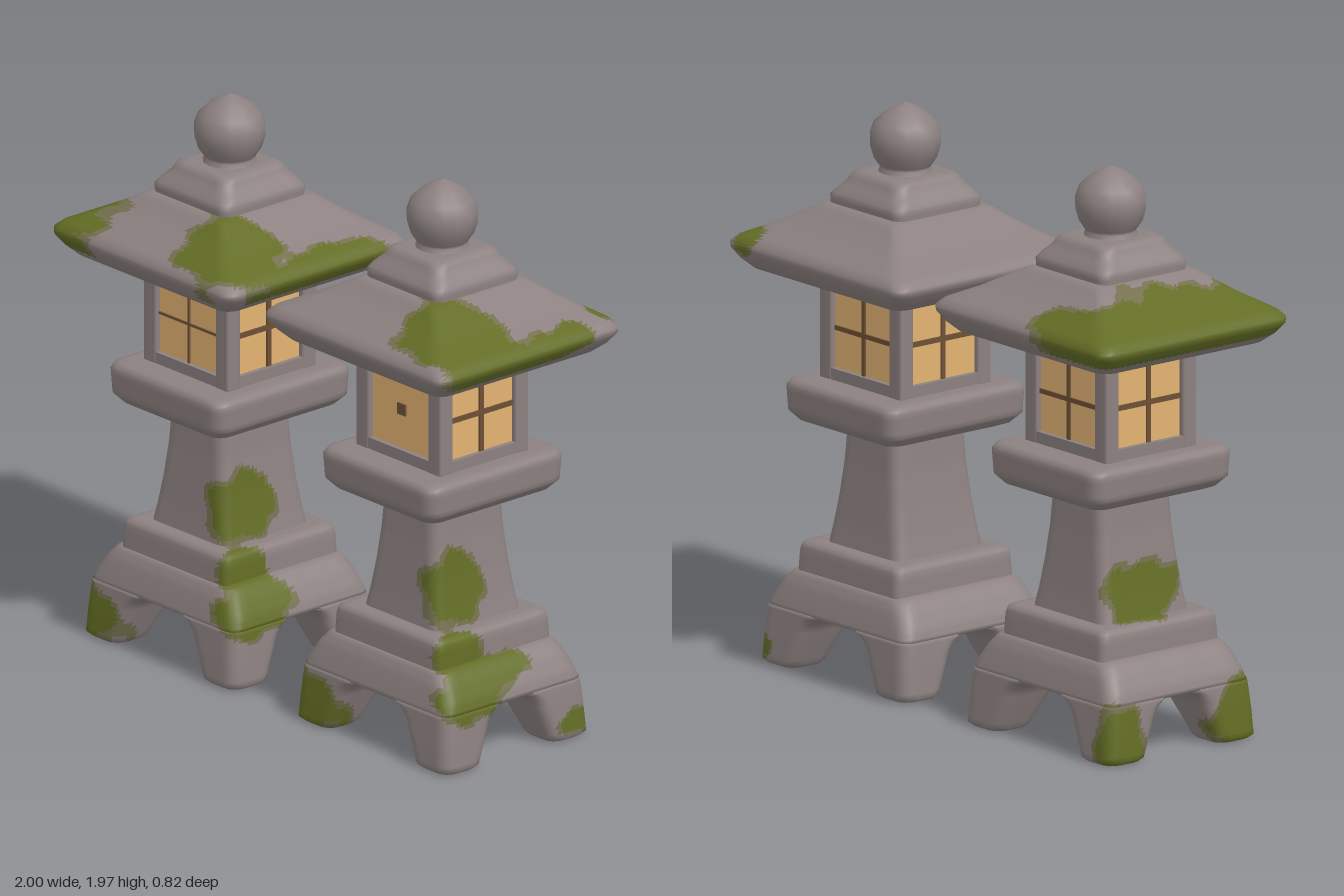
import * as THREE from 'three';

const mat = (name, color) => {
  const m = new THREE.MeshStandardMaterial({ color });
  m.name = name;
  return m;
};
const stone = mat('stone', 0x8c8180);
const fringe = mat('moss fringe', 0x74704f);
const moss = mat('moss', 0x636d25);
const glow = mat('warm paper', 0xe4b373);
const bar = mat('window bars', 0x6e5036);
const stoneSet = [stone, fringe, moss];

// Moss patches per lantern: centre x, y, z and radii x, y, z
const leftMoss = [
  [-0.42, 1.48, 0, 0.2, 0.3, 0.6], [-0.25, 1.47, -0.36, 0.18, 0.2, 0.09],
  [0.29, 1.52, 0.24, 0.2, 0.2, 0.17], [0.45, 1.46, -0.05, 0.08, 0.1, 0.3],
  [-0.4, 0.08, 0.28, 0.18, 0.14, 0.14], [-0.4, 0.08, -0.28, 0.1, 0.14, 0.1],
  [0.33, 0.25, 0.2, 0.1, 0.1, 0.16], [0.28, 0.38, 0.18, 0.06, 0.1, 0.11],
  [-0.19, 0.53, 0, 0.07, 0.12, 0.16], [0.17, 0.55, 0.1, 0.1, 0.13, 0.14],
];
const rightMoss = [
  [0.3, 1.53, 0.2, 0.2, 0.2, 0.18], [0.46, 1.45, 0.13, 0.1, 0.08, 0.3],
  [0.44, 1.48, -0.2, 0.07, 0.06, 0.08], [0.36, 1.47, -0.36, 0.06, 0.05, 0.06],
  [-0.36, 0.08, 0.28, 0.17, 0.13, 0.14], [0.37, 0.06, -0.26, 0.07, 0.05, 0.08],
  [0.34, 0.25, 0.18, 0.1, 0.1, 0.14], [0.3, 0.3, 0.02, 0.08, 0.05, 0.14],
  [0.28, 0.38, 0.16, 0.06, 0.1, 0.11], [0.17, 0.56, 0.1, 0.1, 0.14, 0.12],
];

// Material index for a point: 0 stone, 1 fringe, 2 moss, with a wavy edge
function mossAt(x, y, z, patches) {
  if (y > 1.3 && y < 1.405) return 0;
  const wave = 0.1 * Math.sin(x * 31 + z * 17) + 0.09 * Math.sin(z * 43 - y * 37 + 1);
  let d = 9;
  for (const [a, b, c, rx, ry, rz] of patches) {
    d = Math.min(d, Math.hypot((x - a) / rx, (y - b) / ry, (z - c) / rz));
  }
  d += wave;
  return d < 0.92 ? 2 : d < 1.06 ? 1 : 0;
}

// Closed loft through rounded rectangles: [y, half x, half z, corner radius, centre x, centre z]
function loft(name, knots, patches, side = 18) {
  const full = knots.map(([y, hx, hz, r = 0.03, cx = 0, cz = 0]) => [y, hx, hz, r, cx, cz]);
  const cap = (k) => [k[0], 0.01, 0.01, 0.005, k[4], k[5]];
  full.unshift(cap(full[0]));
  full.push(cap(full[full.length - 1]));

  const rows = [full[0]];
  for (let i = 1; i < full.length; i++) {
    const a = full[i - 1], b = full[i];
    const n = Math.max(1, Math.ceil(Math.hypot(b[0] - a[0], b[1] - a[1]) / 0.02));
    for (let k = 1; k <= n; k++) rows.push(a.map((v, q) => v + (b[q] - v) * k / n));
  }

  const pos = [];
  let count = 0;
  for (const [y, hx, hz, r, cx, cz] of rows) {
    const corners = [[1, 1], [-1, 1], [-1, -1], [1, -1]];
    const ring = [];
    corners.forEach(([sx, sz], c) => {
      for (let k = 0; k <= 4; k++) {
        const t = (c + k / 4) * Math.PI / 2;
        ring.push([sx * (hx - r) + r * Math.cos(t), sz * (hz - r) + r * Math.sin(t)]);
      }
      const p = ring[ring.length - 1];
      const [nx, nz] = corners[(c + 1) % 4];
      const t = (c + 1) * Math.PI / 2;
      const q = [nx * (hx - r) + r * Math.cos(t), nz * (hz - r) + r * Math.sin(t)];
      for (let k = 1; k < side; k++) {
        ring.push([p[0] + (q[0] - p[0]) * k / side, p[1] + (q[1] - p[1]) * k / side]);
      }
    });
    count = ring.length;
    for (const [x, z] of ring) pos.push(cx + x, y, cz + z);
  }

  // Sort triangles into stone, fringe and moss
  const buckets = [[], [], []];
  const addTri = (...v) => {
    const m = [0, 1, 2].map((k) => v.reduce((s, i) => s + pos[i * 3 + k], 0) / 3);
    buckets[mossAt(...m, patches)].push(...v);
  };
  for (let i = 0; i < rows.length - 1; i++) {
    for (let j = 0; j < count; j++) {
      const a = i * count + j, b = i * count + (j + 1) % count;
      addTri(a, a + count, b);
      addTri(b, a + count, b + count);
    }
  }
  const g = new THREE.BufferGeometry();
  g.setAttribute('position', new THREE.Float32BufferAttribute(pos, 3));
  g.setIndex(buckets.flat());
  let start = 0;
  buckets.forEach((b, i) => {
    if (b.length) g.addGroup(start, b.length, i);
    start += b.length;
  });
  g.computeVertexNormals();
  const mesh = new THREE.Mesh(g, stoneSet);
  mesh.name = name;
  return mesh;
}

function box(name, w, h, d, x, y, z, material) {
  const m = new THREE.Mesh(new THREE.BoxGeometry(w, h, d), material);
  m.position.set(x, y, z);
  m.name = name;
  return m;
}

// One window wall facing +z: rails, pane and bars
function windowWall(halfWidth, halfPane, depth, barWidth) {
  const w = new THREE.Group();
  w.name = 'windowWall';
  w.add(box('topRail', halfWidth * 2 - 0.04, 0.07, 0.05, 0, 1.355, depth - 0.027, stone));
  w.add(box('bottomRail', halfWidth * 2 - 0.04, 0.06, 0.05, 0, 1.015, depth - 0.027, stone));
  w.add(box('pane', halfPane * 2 + 0.02, 0.3, 0.008, 0, 1.18, depth - 0.024, glow));
  if (barWidth) {
    w.add(box('uprightBar', barWidth, 0.28, 0.009, 0, 1.18, depth - 0.018, bar));
    w.add(box('crossBar', halfPane * 2, barWidth, 0.009, 0, 1.185, depth - 0.018, bar));
  } else {
    w.add(box('paneStud', 0.04, 0.04, 0.009, 0, 1.185, depth - 0.018, bar));
  }
  return w;
}

function lantern(name, x, patches, frontBar) {
  const g = new THREE.Group();
  g.name = name;
  g.position.x = x;

  // Four splayed legs whose inner faces form the arches: y, inner x, inner z, outer x, outer z
  const legRows = [
    [0, 0.22, 0.165, 0.375, 0.315], [0.012, 0.21, 0.155, 0.388, 0.328], [0.1, 0.17, 0.12, 0.382, 0.322],
    [0.15, 0.148, 0.1, 0.378, 0.317], [0.18, 0.12, 0.075, 0.375, 0.314], [0.203, 0.07, 0.035, 0.372, 0.312],
  ];
  for (const sx of [-1, 1]) for (const sz of [-1, 1]) {
    g.add(loft('leg', legRows.map(([y, ix, iz, ox, oz]) =>
      [y, (ox - ix) / 2, (oz - iz) / 2, 0.045, sx * (ox + ix) / 2, sz * (oz + iz) / 2]), patches, 8));
  }
  g.add(loft('baseTop', [[0.2, 0.372, 0.312, 0.045], [0.24, 0.358, 0.302, 0.05], [0.29, 0.328, 0.287, 0.05],
    [0.325, 0.298, 0.27, 0.05], [0.335, 0.28, 0.255, 0.05]], patches));
  g.add(loft('plinth', [[0.32, 0.27, 0.26], [0.4, 0.267, 0.255], [0.425, 0.26, 0.25], [0.435, 0.245, 0.235]], patches));
  g.add(loft('post', [[0.42, 0.197, 0.195, 0.04], [0.5, 0.18, 0.185, 0.04], [0.6, 0.162, 0.175, 0.04],
    [0.72, 0.147, 0.165, 0.04], [0.87, 0.135, 0.158, 0.04]], patches));
  g.add(loft('platform', [[0.85, 0.225, 0.24, 0.04], [0.862, 0.255, 0.275, 0.045], [0.895, 0.285, 0.303, 0.05],
    [0.98, 0.29, 0.307, 0.05], [0.998, 0.28, 0.297, 0.05], [1.005, 0.26, 0.28, 0.05]], patches));

  // Fire box: corner posts and four windows
  for (const sx of [-1, 1]) for (const sz of [-1, 1]) {
    g.add(loft('cornerPost', [[0.99, 0.033, 0.03, 0.01, sx * 0.183, sz * 0.17],
      [1.39, 0.033, 0.03, 0.01, sx * 0.183, sz * 0.17]], patches, 2));
  }
  [[0.215, 0.15, 0.2, frontBar], [0.2, 0.14, 0.215, 0.018], [0.215, 0.15, 0.2, 0.016], [0.2, 0.14, 0.215, 0.018]]
    .forEach((w, i) => {
      const wall = windowWall(...w);
      wall.rotation.y = i * Math.PI / 2;
      g.add(wall);
    });

  // Flared roof, stepped cap and bud finial
  g.add(loft('roof', [[1.37, 0.37, 0.335, 0.05], [1.378, 0.395, 0.36, 0.05], [1.41, 0.432, 0.39, 0.05],
    [1.445, 0.458, 0.412, 0.05], [1.465, 0.46, 0.412, 0.05], [1.488, 0.435, 0.395, 0.05], [1.535, 0.335, 0.32, 0.04],
    [1.575, 0.265, 0.262, 0.03], [1.61, 0.205, 0.22, 0.025], [1.618, 0.185, 0.2, 0.025]], patches, 26));
  g.add(loft('roofCap', [[1.6, 0.188, 0.188, 0.035], [1.645, 0.19, 0.19, 0.035], [1.665, 0.178, 0.178, 0.04],
    [1.695, 0.15, 0.155, 0.04], [1.722, 0.135, 0.14, 0.04], [1.732, 0.115, 0.12, 0.04]], []));
  const bud = [[0.1, 1.72], [0.085, 1.745], [0.09, 1.755], [0.11, 1.785], [0.122, 1.825], [0.122, 1.86],
    [0.108, 1.9], [0.075, 1.932], [0.035, 1.958], [0.0, 1.97]].map((p) => new THREE.Vector2(...p));
  const finial = new THREE.Mesh(new THREE.LatheGeometry(bud, 14), stone);
  finial.name = 'finial';
  g.add(finial);
  return g;
}

export function createModel() {
  const model = new THREE.Group();
  model.name = 'stoneLanterns';
  model.add(lantern('rightLantern', -0.54, leftMoss, 0.008));
  model.add(lantern('leftLantern', 0.54, rightMoss, 0));
  return model;
}
